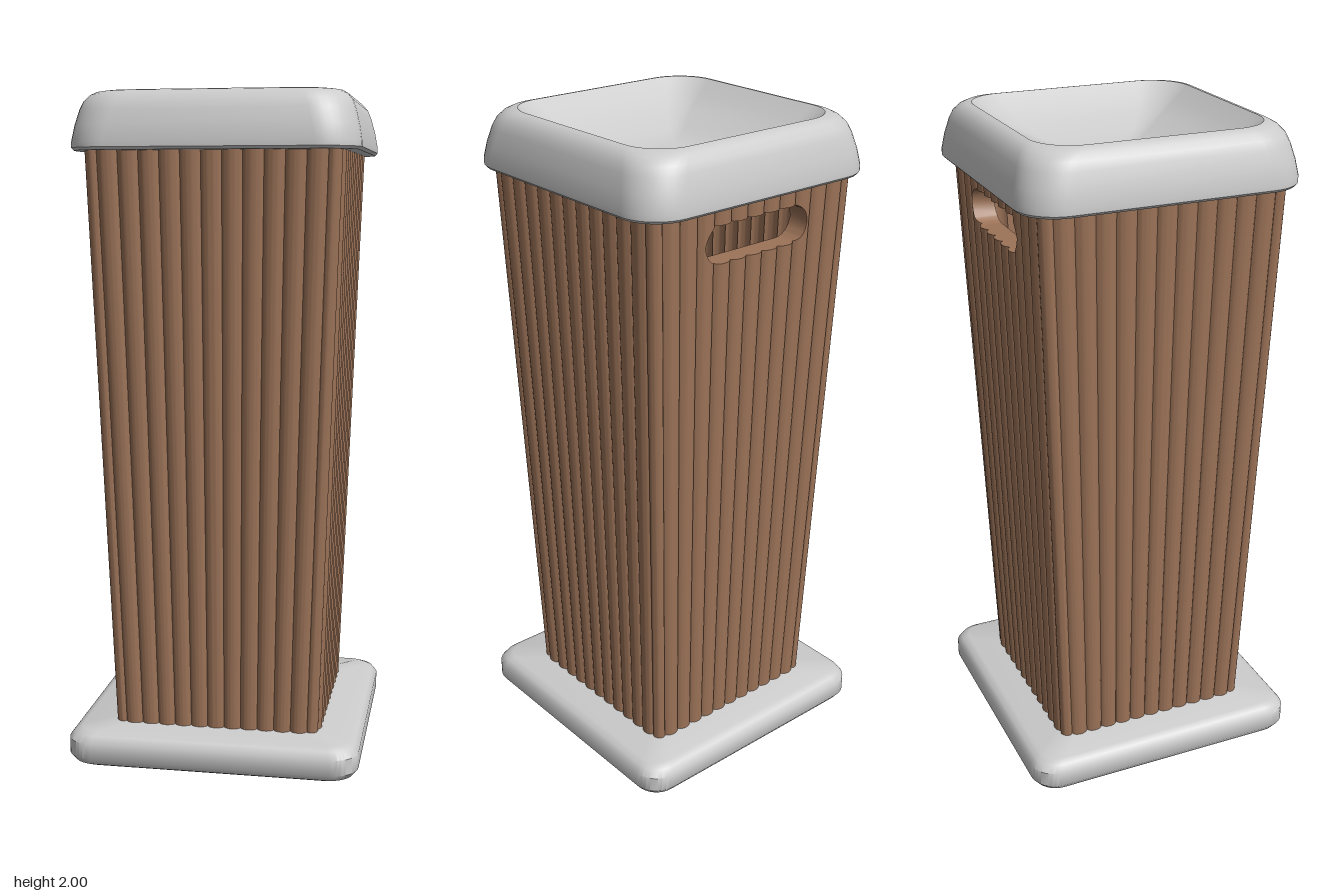
import * as THREE from 'three';
import { toCreasedNormals } from 'three/addons/utils/BufferGeometryUtils.js';

const metal = new THREE.MeshStandardMaterial({ color: 0xcccccc });
const wood = new THREE.MeshStandardMaterial({ color: 0x9c7358, side: THREE.DoubleSide });
const CORNER = 10;

// Rounded-square loop, half width h and corner radius r, at height y
function loop(h, r, y) {
  const pts = [];
  for (let q = 0; q < 4; q++) {
    const mid = Math.PI / 4 + q * Math.PI / 2;
    const cx = Math.sign(Math.cos(mid)) * (h - r), cz = Math.sign(Math.sin(mid)) * (h - r);
    for (let i = 0; i <= CORNER; i++) {
      const a = q * Math.PI / 2 + i / CORNER * Math.PI / 2;
      pts.push([cx + r * Math.cos(a), y, cz + r * Math.sin(a)]);
    }
  }
  return pts;
}

function meshFrom(name, pos, material, crease) {
  const geo = new THREE.BufferGeometry();
  geo.setAttribute('position', new THREE.Float32BufferAttribute(pos, 3));
  const mesh = new THREE.Mesh(toCreasedNormals(geo, crease), material);
  mesh.name = name;
  return mesh;
}

// Skin a stack of rounded-square levels [half, radius, y]
function loft(name, levels, crease) {
  const pos = [], loops = levels.map(l => loop(...l)), n = loops[0].length;
  for (let k = 0; k + 1 < loops.length; k++) {
    for (let i = 0; i < n; i++) {
      const j = (i + 1) % n;
      const a = loops[k][i], b = loops[k][j], c = loops[k + 1][i], d = loops[k + 1][j];
      pos.push(...a, ...c, ...b, ...b, ...c, ...d);
    }
  }
  return meshFrom(name, pos, metal, crease);
}

// Tapered side wall of upright rounded slats, optionally with a hand slot
function slatWall(name, angle, hasSlot) {
  const Y0 = 0.09, Y1 = 1.86, SLATS = 12, COLS = SLATS * 10;
  const half = y => 0.318 + (y - 0.1) / 1.73 * 0.06;
  const r = 0.05, slotY = 1.72, slotH = 0.055, slotW = 0.19, depth = 0.07;
  const point = (u, y) => {
    const h = half(y), x = u * (h - r * (1 - Math.SQRT1_2));
    const over = Math.max(0, Math.abs(x) - (h - r));
    const rounded = r - Math.sqrt(r * r - over * over);
    const ridge = Math.abs(Math.cos(Math.PI * SLATS * (u + 1) / 2));
    return [x, y, h - rounded - 0.014 * (1 - Math.pow(ridge, 0.6))];
  };
  const opening = u => {
    const x = Math.abs(point(u, slotY)[0]);
    if (!hasSlot || x >= slotW) return 0;
    const e = Math.max(0, x - (slotW - slotH));
    return Math.sqrt(slotH * slotH - e * e);
  };
  const pos = [];
  const quad = (a, b, c, d) => pos.push(...a, ...b, ...c, ...a, ...c, ...d);
  const inner = p => [p[0], p[1], half(p[1]) - depth];
  for (let i = 0; i < COLS; i++) {
    const u0 = -1 + 2 * i / COLS, u1 = -1 + 2 * (i + 1) / COLS;
    const o0 = opening(u0), o1 = opening(u1);
    if (o0 + o1 === 0) {
      quad(point(u0, Y0), point(u1, Y0), point(u1, Y1), point(u0, Y1));
      continue;
    }
    const a = point(u0, slotY - o0), b = point(u1, slotY - o1);
    const c = point(u1, slotY + o1), d = point(u0, slotY + o0);
    quad(point(u0, Y0), point(u1, Y0), b, a);
    quad(d, c, point(u1, Y1), point(u0, Y1));
    // thickness of the slot
    quad(a, b, inner(b), inner(a));
    quad(c, d, inner(d), inner(c));
  }
  const wall = meshFrom(name, pos, wood, 0.7);
  wall.rotation.y = angle;
  return wall;
}

export function createModel() {
  const model = new THREE.Group();
  model.name = 'litterBin';

  // Plinth with softened edges
  model.add(loft('base', [
    [0, 0, 0], [0.405, 0.06, 0], [0.425, 0.07, 0.01], [0.44, 0.08, 0.03],
    [0.44, 0.08, 0.078], [0.425, 0.07, 0.098], [0.405, 0.06, 0.107], [0, 0, 0.107],
  ], 0.7));

  // Four slatted walls, the back one with a hand slot
  const body = new THREE.Group();
  body.name = 'body';
  ['frontWall', 'leftWall', 'backWall', 'rightWall'].forEach((name, i) =>
    body.add(slatWall(name, i * Math.PI / 2, i === 2)));
  model.add(body);

  // Cap with rounded shoulders and a dished top
  model.add(loft('lid', [
    [0, 0, 1.83], [0.412, 0.11, 1.83], [0.42, 0.12, 1.838], [0.42, 0.12, 1.855],
    [0.412, 0.12, 1.9], [0.4, 0.12, 1.945], [0.39, 0.12, 1.97], [0.375, 0.12, 1.988],
    [0.36, 0.12, 1.997], [0.345, 0.12, 2],
    [0.3, 0.09, 1.962], [0.24, 0.06, 1.925], [0.16, 0.03, 1.89], [0.08, 0.01, 1.868], [0, 0, 1.855],
  ], 0.6));
  return model;
}
